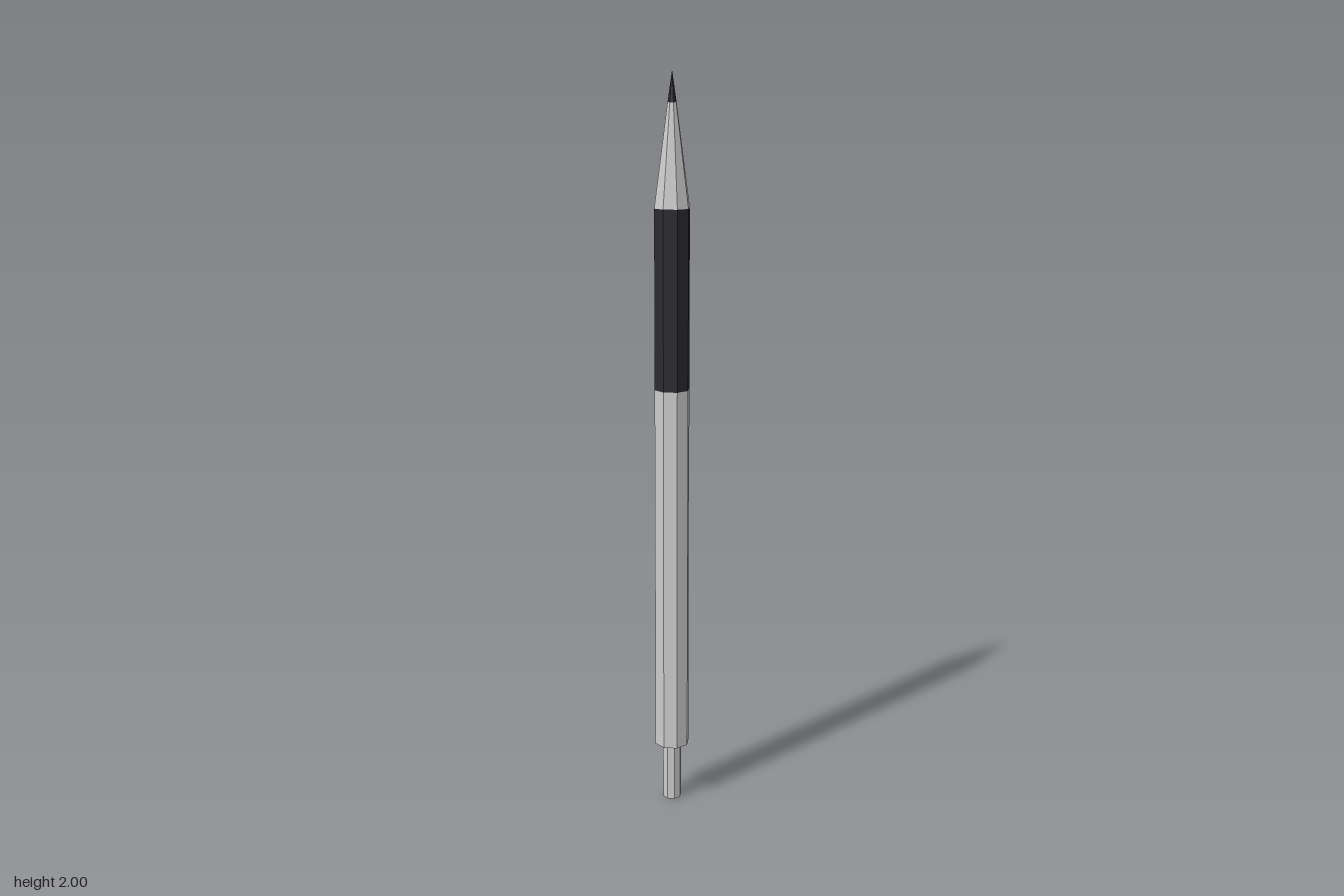
import * as THREE from 'three';

const SIDES = 8;

export function createModel() {
  const group = new THREE.Group();
  const grey = new THREE.MeshStandardMaterial({ color: 0xcccccc, flatShading: true });
  const dark = new THREE.MeshStandardMaterial({ color: 0x2a2a30, flatShading: true });

  // Octagonal section from y0 to y1, turned so its flats face the axes
  function section(name, r0, r1, y0, y1, material, open = false) {
    const geometry = new THREE.CylinderGeometry(r1, r0, y1 - y0, SIDES, 1, open);
    geometry.rotateY(Math.PI / SIDES);
    geometry.translate(0, (y0 + y1) / 2, 0);
    const mesh = new THREE.Mesh(geometry, material);
    mesh.name = name;
    group.add(mesh);
  }

  const R = 0.048;
  section('pushButton', 0.026, 0.026, 0, 0.17, grey);
  section('barrel', R, R, 0.165, 1.18, grey);
  section('grip', R, R, 1.18, 1.655, dark, true);
  section('noseCone', R, 0.012, 1.655, 1.92, grey, true);
  section('writingTip', 0.012, 0, 1.92, 2, dark, true);

  return group;
}
